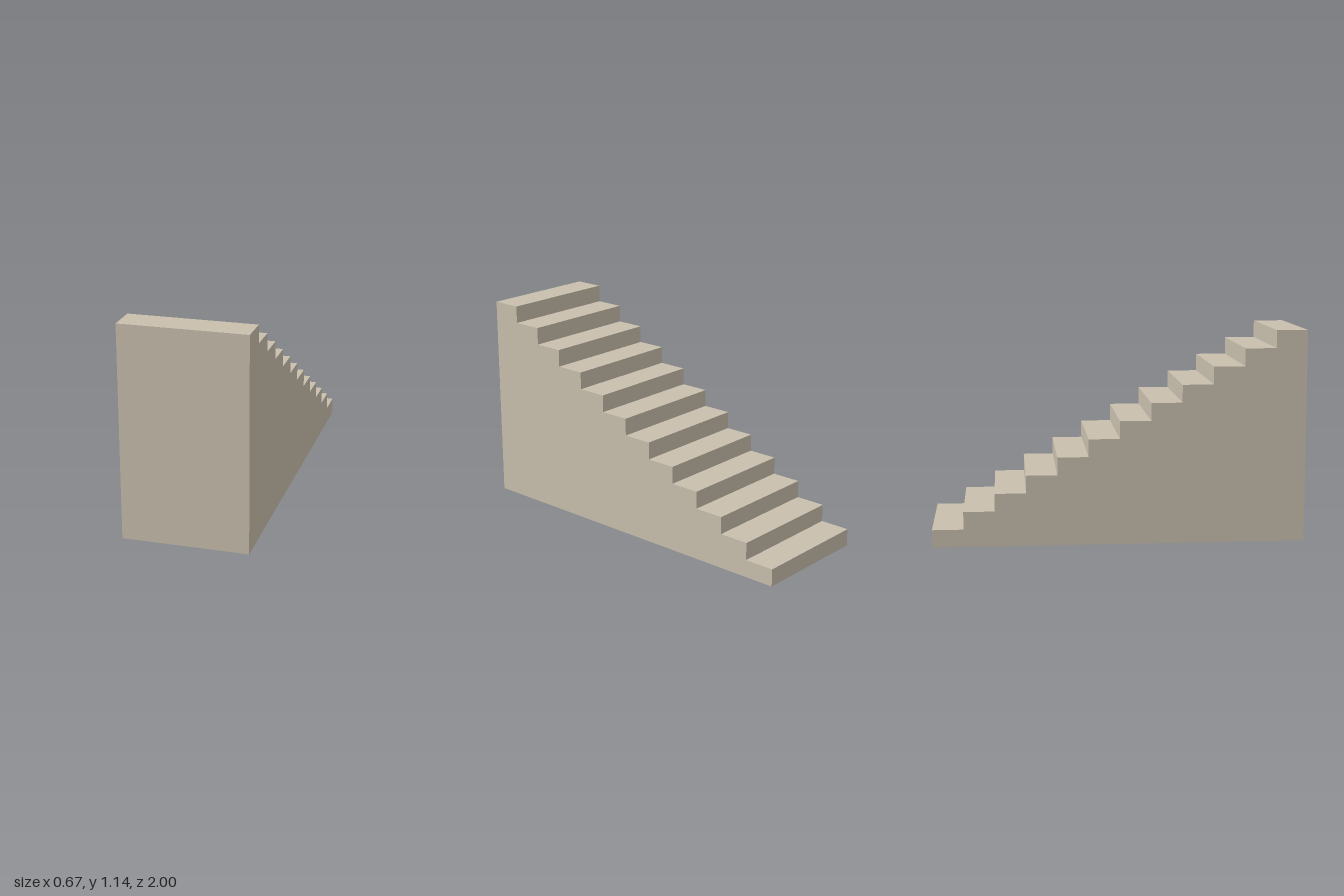
import * as THREE from 'three';

const STEPS = 12;
const WIDTH = 0.667;
const LENGTH = 2;
const HEIGHT = 1.143;

export function createModel() {
  const group = new THREE.Group();
  group.name = 'staircase';

  const stone = new THREE.MeshStandardMaterial({ color: 0xc8bfad });
  stone.name = 'stone';

  // Stepped side profile: climbs from the low back end to the tall front
  const run = LENGTH / STEPS;
  const rise = HEIGHT / STEPS;
  const profile = new THREE.Shape();
  profile.moveTo(LENGTH / 2, 0);
  profile.lineTo(LENGTH / 2, HEIGHT);
  for (let i = STEPS - 1; i >= 0; i--) {
    const z = -LENGTH / 2 + i * run;
    profile.lineTo(z, (i + 1) * rise); // tread
    profile.lineTo(z, i * rise); // riser
  }
  profile.closePath();

  // Extrude across the width, turning the profile to run along z
  const geometry = new THREE.ExtrudeGeometry(profile, { depth: WIDTH, bevelEnabled: false });
  geometry.rotateY(-Math.PI / 2);
  geometry.translate(WIDTH / 2, 0, 0);

  const stairs = new THREE.Mesh(geometry, stone);
  stairs.name = 'solidSteps';
  group.add(stairs);
  return group;
}
